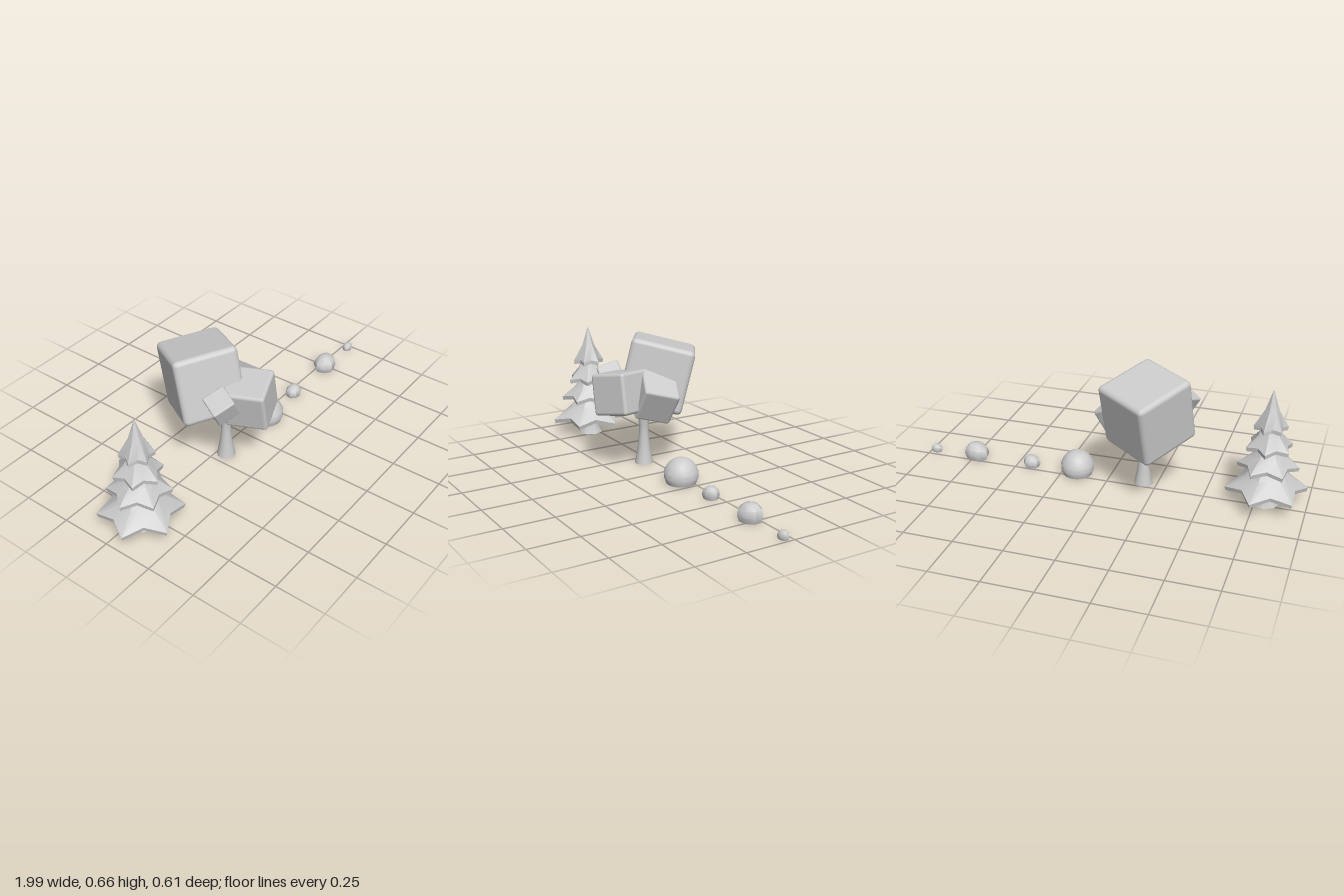
import * as THREE from 'three';
import { toCreasedNormals } from 'three/addons/utils/BufferGeometryUtils.js';
import { RoundedBoxGeometry } from 'three/addons/geometries/RoundedBoxGeometry.js';

const mat = new THREE.MeshStandardMaterial({ color: 0xcccccc, side: THREE.DoubleSide });

function add(parent, name, geometry, x = 0, y = 0, z = 0) {
  const mesh = new THREE.Mesh(geometry, mat);
  mesh.name = name;
  mesh.position.set(x, y, z);
  parent.add(mesh);
  return mesh;
}

// Lathe from [radius, height] pairs listed bottom to top
function lathe(points, sides) {
  return new THREE.LatheGeometry(points.map(([r, y]) => new THREE.Vector2(r, y)), sides);
}

// Six-pointed skirt: rings from the top down, over the rim and up inside
function skirt(R, y0, height, topRadius, phase) {
  const n = 12;
  // [radius, height, how strongly the star shape shows]
  const rings = [
    [topRadius, y0 + height, 0],
    [topRadius * 0.45 + R * 0.4, y0 + height * 0.45, 0.45],
    [R, y0, 1],
    [R * 0.97, y0 - 0.02, 1],
    [R * 0.45, y0 + height * 0.32, 0.4],
    [0.012, y0 + height * 0.55, 0],
  ];
  const pos = [], index = [];
  rings.forEach(([r, y, star]) => {
    for (let i = 0; i < n; i++) {
      const notch = (i % 2) * star;
      const a = phase + (i / n) * Math.PI * 2;
      const q = r * (1 - 0.27 * notch);
      pos.push(q * Math.cos(a), y + R * 0.11 * notch, -q * Math.sin(a));
    }
  });
  for (let k = 0; k < rings.length - 1; k++) {
    for (let i = 0; i < n; i++) {
      const j = (i + 1) % n, a = k * n + i, b = k * n + j;
      index.push(a, a + n, b, b, a + n, b + n);
    }
  }
  const g = new THREE.BufferGeometry();
  g.setAttribute('position', new THREE.Float32BufferAttribute(pos, 3));
  g.setIndex(index);
  return toCreasedNormals(g, 0.5);
}

function makePine() {
  const pine = new THREE.Group();
  pine.name = 'pineTree';
  add(pine, 'pineTrunk', lathe([[0.068, 0], [0.05, 0.04], [0.042, 0.09], [0.038, 0.2]], 8));
  // [rim radius, rim height, tier height, top radius, turn]
  [
    [0.202, 0.085, 0.16, 0.05, 0.28],
    [0.15, 0.208, 0.13, 0.04, 0.1],
    [0.117, 0.312, 0.13, 0.03, 0.5],
    [0.082, 0.415, 0.185, 0.001, 0.25],
  ].forEach((t, i) => add(pine, 'pineTier' + (i + 1), skirt(...t)));
  pine.position.set(-0.8, 0, 0.037);
  return pine;
}

// Rounded block turned so its own axes lie along the given x and y directions
function block(parent, name, size, center, ax, ay) {
  const mesh = add(parent, name, new RoundedBoxGeometry(...size, 2, size[0] * 0.08), ...center);
  const x = new THREE.Vector3(...ax).normalize();
  const z = new THREE.Vector3().crossVectors(x, new THREE.Vector3(...ay)).normalize();
  const y = new THREE.Vector3().crossVectors(z, x);
  mesh.quaternion.setFromRotationMatrix(new THREE.Matrix4().makeBasis(x, y, z));
}

function makeBlockTree() {
  const tree = new THREE.Group();
  tree.name = 'blockTree';
  const trunk = [[0.047, 0], [0.04, 0.035], [0.031, 0.09], [0.024, 0.16], [0.024, 0.2], [0.029, 0.25]];
  add(tree, 'trunk', lathe(trunk, 12), -0.18, 0, 0.045);
  // Forked branches running up into the crown
  [[-0.23, 0.33, 0.0], [-0.12, 0.32, 0.05], [-0.18, 0.33, 0.12]].forEach((end, i) => {
    const curve = new THREE.QuadraticBezierCurve3(
      new THREE.Vector3(-0.18, 0.21, 0.045),
      new THREE.Vector3(-0.18, 0.255, 0.045).lerp(new THREE.Vector3(...end), 0.25),
      new THREE.Vector3(...end));
    add(tree, 'branch' + (i + 1), new THREE.TubeGeometry(curve, 6, 0.018, 8));
  });
  block(tree, 'largeCrown', [0.315, 0.33, 0.325], [-0.224, 0.452, -0.065],
    [0.245, 0.025, 0.158], [0.056, 0.969, -0.241]);
  block(tree, 'frontCrown', [0.208, 0.208, 0.208], [-0.165, 0.395, 0.177],
    [0.92, 0.175, -0.35], [-0.19, 0.98, 0]);
  block(tree, 'sideCrown', [0.182, 0.182, 0.182], [-0.079, 0.372, 0.035],
    [0.15, -0.08, 0.065], [0.083, 0.145, -0.015]);
  block(tree, 'smallCrown', [0.115, 0.115, 0.115], [-0.34, 0.437, 0.143],
    [0.78, 0.42, 0.46], [-0.5, 0.85, 0.1]);
  return tree;
}

// Dome bush with thin stepped layers, open underneath
function makeRoundBush() {
  const R = 0.083, cy = 0.044, points = [];
  const steps = [0, 0.028, 0.055, 0.083, cy + R];
  for (let k = 0; k < 4; k++) {
    const grow = k < 3 ? 0.003 : 0;
    const parts = k < 3 ? 2 : 8;
    const a0 = Math.asin((steps[k] - cy) / R);
    const a1 = k < 3 ? Math.asin((steps[k + 1] - cy) / R) : Math.PI / 2;
    for (let i = 0; i <= parts; i++) {
      const a = a0 + ((a1 - a0) * i) / parts;
      points.push([Math.max(0, R * Math.cos(a)) + grow * (1 - i / parts), cy + R * Math.sin(a)]);
    }
  }
  return toCreasedNormals(lathe(points, 24), 0.6);
}

// Coarse pebble-like bush, cut flat and open at the ground
function makeSmallBush(rx, height, rz, sides, turn) {
  const cut = Math.PI * 0.68, low = -Math.cos(cut);
  const g = new THREE.SphereGeometry(1, sides, 4, turn, Math.PI * 2, 0, cut);
  const p = g.attributes.position;
  for (let i = 0; i < p.count; i++) {
    const x = p.getX(i), y = p.getY(i), z = p.getZ(i);
    const lump = 1 + 0.05 * Math.sin(5 * x + 3 * z + turn);
    p.setXYZ(i, x * rx * lump, ((y + low) / (1 + low)) * height * (1 + 0.06 * x), z * rz * lump);
  }
  return toCreasedNormals(g, 0.7);
}

export function createModel() {
  const group = new THREE.Group();
  group.name = 'treesAndBushes';
  group.add(makePine(), makeBlockTree());
  add(group, 'roundBush', makeRoundBush(), 0.17, 0, 0.04);
  [
    [0.422, 0.045, 0.063, 0.04, 8, 0.2],
    [0.732, 0.067, 0.088, 0.058, 8, 0.5],
    [0.968, 0.031, 0.042, 0.025, 7, 0.9],
  ].forEach(([x, ...shape], i) => add(group, 'smallBush' + (i + 1), makeSmallBush(...shape), x, 0, 0.036));
  return group;
}
